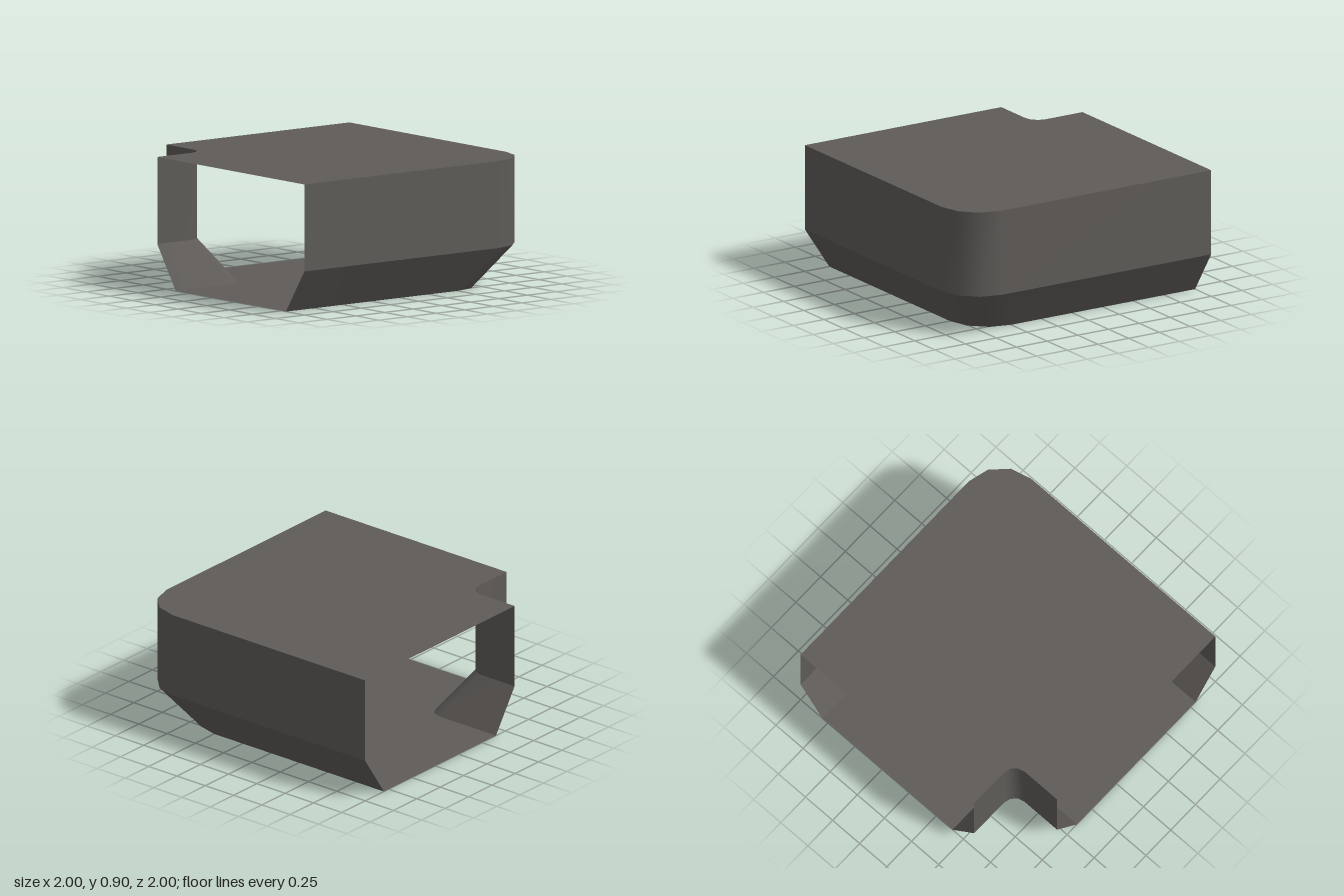
import * as THREE from 'three';

const SEGMENTS = 3;

// L-shaped plan line: along +x at z = e, round the corner, then along -z at x = e
function cornerPath(e, r) {
  const c = e - r;
  const points = [new THREE.Vector2(-1, e)];
  for (let i = 0; i <= SEGMENTS; i++) {
    const a = Math.PI / 2 * (1 - i / SEGMENTS);
    points.push(new THREE.Vector2(c + r * Math.cos(a), c + r * Math.sin(a)));
  }
  points.push(new THREE.Vector2(e, -1));
  return points;
}

// Strip of wall between a lower and an upper plan line
function wallStrip(lower, y0, upper, y1, flip) {
  const positions = [];
  const index = [];
  lower.forEach((p, i) => {
    positions.push(p.x, y0, p.y, upper[i].x, y1, upper[i].y);
    if (i === 0) return;
    const a = 2 * (i - 1), b = a + 1, c = a + 2, d = a + 3;
    if (flip) index.push(a, d, c, a, b, d);
    else index.push(a, c, d, a, d, b);
  });
  const geometry = new THREE.BufferGeometry();
  geometry.setAttribute('position', new THREE.Float32BufferAttribute(positions, 3));
  geometry.setIndex(index);
  geometry.computeVertexNormals();
  return geometry;
}

// Flat plate between the outer wall line and the notch wall line
function plate(outer, notch, y, up) {
  const flipZ = (p) => new THREE.Vector2(p.x, up ? -p.y : p.y);
  const outline = [...outer, ...[...notch].reverse()].map(flipZ);
  const geometry = new THREE.ShapeGeometry(new THREE.Shape(outline));
  geometry.rotateX(up ? -Math.PI / 2 : Math.PI / 2);
  geometry.translate(0, y, 0);
  return geometry;
}

export function createModel() {
  const model = new THREE.Group();
  model.name = 'cornerDuct';
  const grey = new THREE.MeshStandardMaterial({ color: 0x5e5b58, side: THREE.DoubleSide });
  grey.name = 'warmDarkGrey';

  const add = (name, geometry) => {
    const mesh = new THREE.Mesh(geometry, grey);
    mesh.name = name;
    model.add(mesh);
  };

  const height = 0.9, bend = 0.3;
  const outerTop = cornerPath(1, 0.3), outerBottom = cornerPath(0.8, 0.3);
  const notchTop = cornerPath(-0.6, 0.1), notchBottom = cornerPath(-0.4, 0.1);

  // Outer wall with its inward-sloping lower band
  add('outerWall', wallStrip(outerTop, bend, outerTop, height, false));
  add('outerSlope', wallStrip(outerBottom, 0, outerTop, bend, false));

  // Inner corner wall, sloping the other way; the two ends of the duct stay open
  add('notchWall', wallStrip(notchTop, bend, notchTop, height, true));
  add('notchSlope', wallStrip(notchBottom, 0, notchTop, bend, true));

  // Roof and floor
  add('roof', plate(outerTop, notchTop, height, true));
  add('floor', plate(outerBottom, notchBottom, 0, false));

  return model;
}
